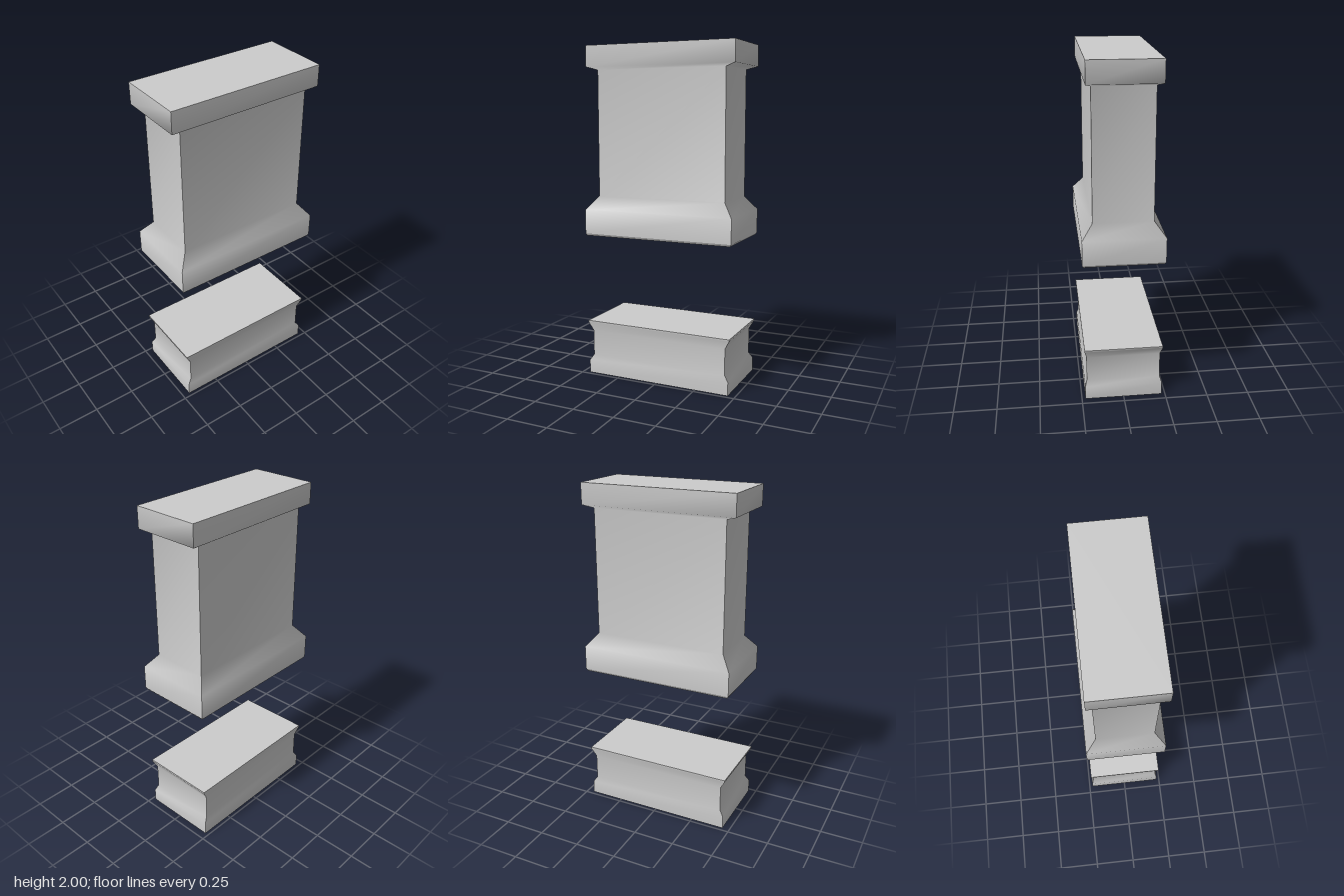
import * as THREE from 'three';

const material = new THREE.MeshStandardMaterial({ color: 0xcccccc });
const CORNERS = [[-1, 1], [1, 1], [1, -1], [-1, -1]];

// Rectangular sections [y, halfWidth, halfDepth] joined by four walls:
// smooth along the profile, sharp at the corners.
function walls(sections, name) {
  const pos = [], index = [];
  for (let side = 0; side < 4; side++) {
    const a = CORNERS[side], b = CORNERS[(side + 1) % 4];
    const start = pos.length / 3;
    sections.forEach(([y, w, d], i) => {
      pos.push(a[0] * w, y, a[1] * d, b[0] * w, y, b[1] * d);
      if (i > 0) {
        const k = start + (i - 1) * 2;
        index.push(k, k + 1, k + 3, k, k + 3, k + 2);
      }
    });
  }
  const geometry = new THREE.BufferGeometry();
  geometry.setAttribute('position', new THREE.Float32BufferAttribute(pos, 3));
  geometry.setIndex(index);
  geometry.computeVertexNormals();
  const mesh = new THREE.Mesh(geometry, material);
  mesh.name = name;
  return mesh;
}

// Flat horizontal face closing a section, facing up or down
function cap([y, w, d], up, name) {
  const geometry = new THREE.PlaneGeometry(w * 2, d * 2);
  geometry.rotateX(up ? -Math.PI / 2 : Math.PI / 2);
  geometry.translate(0, y, 0);
  const mesh = new THREE.Mesh(geometry, material);
  mesh.name = name;
  return mesh;
}

export function createModel() {
  const model = new THREE.Group();
  model.name = 'pedestalInTwoPieces';

  // Solid lower block with a pinched waist
  const block = [
    [0, 0.456, 0.229], [0.08, 0.456, 0.229], [0.115, 0.432, 0.218],
    [0.27, 0.432, 0.218], [0.322, 0.461, 0.23], [0.333, 0.461, 0.23],
  ];
  const base = new THREE.Group();
  base.name = 'baseBlock';
  base.add(
    walls(block, 'baseWalls'),
    cap(block[0], false, 'baseUnderside'),
    cap(block[block.length - 1], true, 'baseTop'),
  );

  // Raised hollow column: flared foot, straight shaft, overhanging head
  const foot = [0.88, 0.468, 0.235], lip = [0.867, 0.46, 0.228];
  const mouth = [0.867, 0.405, 0.172], inside = [0.885, 0.4, 0.167];
  const ceiling = [1.85, 0.4, 0.167], top = [2, 0.468, 0.203];
  const column = new THREE.Group();
  column.name = 'hollowColumn';
  column.add(
    walls([
      foot, [1.025, 0.468, 0.235], [1.105, 0.405, 0.172],
      [1.857, 0.405, 0.172], [1.875, 0.468, 0.203], top,
    ], 'columnWalls'),
    cap(top, true, 'columnTop'),
    walls([lip, foot], 'footBevel'),
    walls([mouth, lip], 'bottomRim'),
    walls([inside, mouth], 'innerBevel'),
    walls([ceiling, inside], 'cavityWalls'),
    cap(ceiling, false, 'cavityCeiling'),
  );

  model.add(base, column);
  return model;
}
